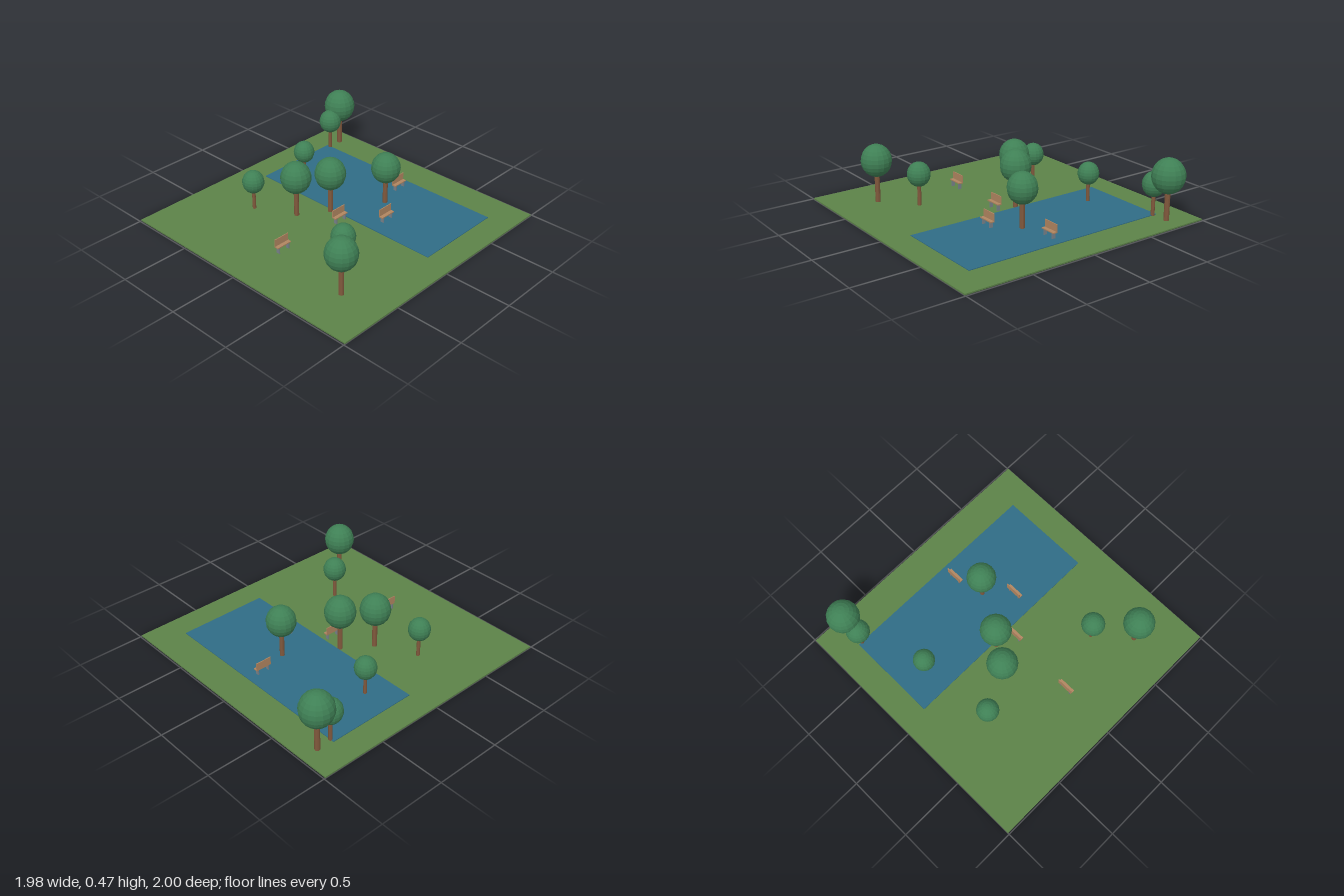
import * as THREE from 'three';

const mat = (color, flatShading = false) => new THREE.MeshStandardMaterial({ color, flatShading });
const GRASS = mat(0x5c8248), WATER = mat(0x2f6c85), BARK = mat(0x80583c, true);
const LEAF = mat(0x3f8055, true), WOOD = mat(0xb08560), METAL = mat(0x778088);
const GROUND_TOP = 0.01;

// Adds a named box centred on x, y, z
function box(parent, name, material, [w, h, d], [x, y, z]) {
  const mesh = new THREE.Mesh(new THREE.BoxGeometry(w, h, d), material);
  mesh.name = name;
  mesh.position.set(x, y, z);
  parent.add(mesh);
}

// Straight trunk with a slightly tall faceted crown of radius r reaching up to top
function makeTree(x, z, r, top) {
  const tree = new THREE.Group();
  tree.name = 'tree';
  tree.position.set(x, 0, z);
  const ry = r * 1.07, crownY = top - ry;
  const trunkTop = crownY - ry * 0.7, trunkHeight = trunkTop - GROUND_TOP;
  const trunk = new THREE.Mesh(new THREE.CylinderGeometry(r * 0.165, r * 0.165, trunkHeight, 10), BARK);
  trunk.name = 'trunk';
  trunk.position.y = GROUND_TOP + trunkHeight / 2;
  const crown = new THREE.Mesh(new THREE.SphereGeometry(r, 16, 12), LEAF);
  crown.name = 'crown';
  crown.scale.y = 1.07;
  crown.position.y = crownY;
  tree.add(trunk, crown);
  return tree;
}

// Park bench facing +z
function makeBench(x, z) {
  const bench = new THREE.Group();
  bench.name = 'bench';
  bench.position.set(x, 0, z);
  box(bench, 'seat', WOOD, [0.124, 0.008, 0.034], [0, 0.06, 0]);
  box(bench, 'backrest', WOOD, [0.124, 0.056, 0.006], [0, 0.09, -0.014]);
  for (const side of [-1, 1])
    box(bench, 'leg', METAL, [0.008, 0.048, 0.027], [side * 0.044, 0.033, 0]);
  return bench;
}

export function createModel() {
  const park = new THREE.Group();
  park.name = 'park';

  box(park, 'lawn', GRASS, [1.98, GROUND_TOP, 2], [0, GROUND_TOP / 2, 0]);
  box(park, 'pond', WATER, [0.69, 0.01, 1.6], [0.395, 0.01, 0]);

  // Trees: x, z, crown radius, top height
  const trees = [
    [-0.65, 0.652, 0.113, 0.447], [-0.41, 0.445, 0.086, 0.338], [-0.322, -0.525, 0.081, 0.32],
    [-0.175, -0.234, 0.112, 0.442], [0.03, -0.092, 0.114, 0.446], [0.255, -0.583, 0.079, 0.313],
    [0.39, 0.121, 0.108, 0.422], [0.738, -0.768, 0.086, 0.338], [0.86, -0.78, 0.12, 0.466],
  ];
  for (const t of trees) park.add(makeTree(...t));

  // Benches: x, z
  const benches = [[-0.561, 0.023], [-0.024, 0.053], [0.215, 0.287], [0.615, 0.065]];
  for (const b of benches) park.add(makeBench(...b));

  return park;
}
